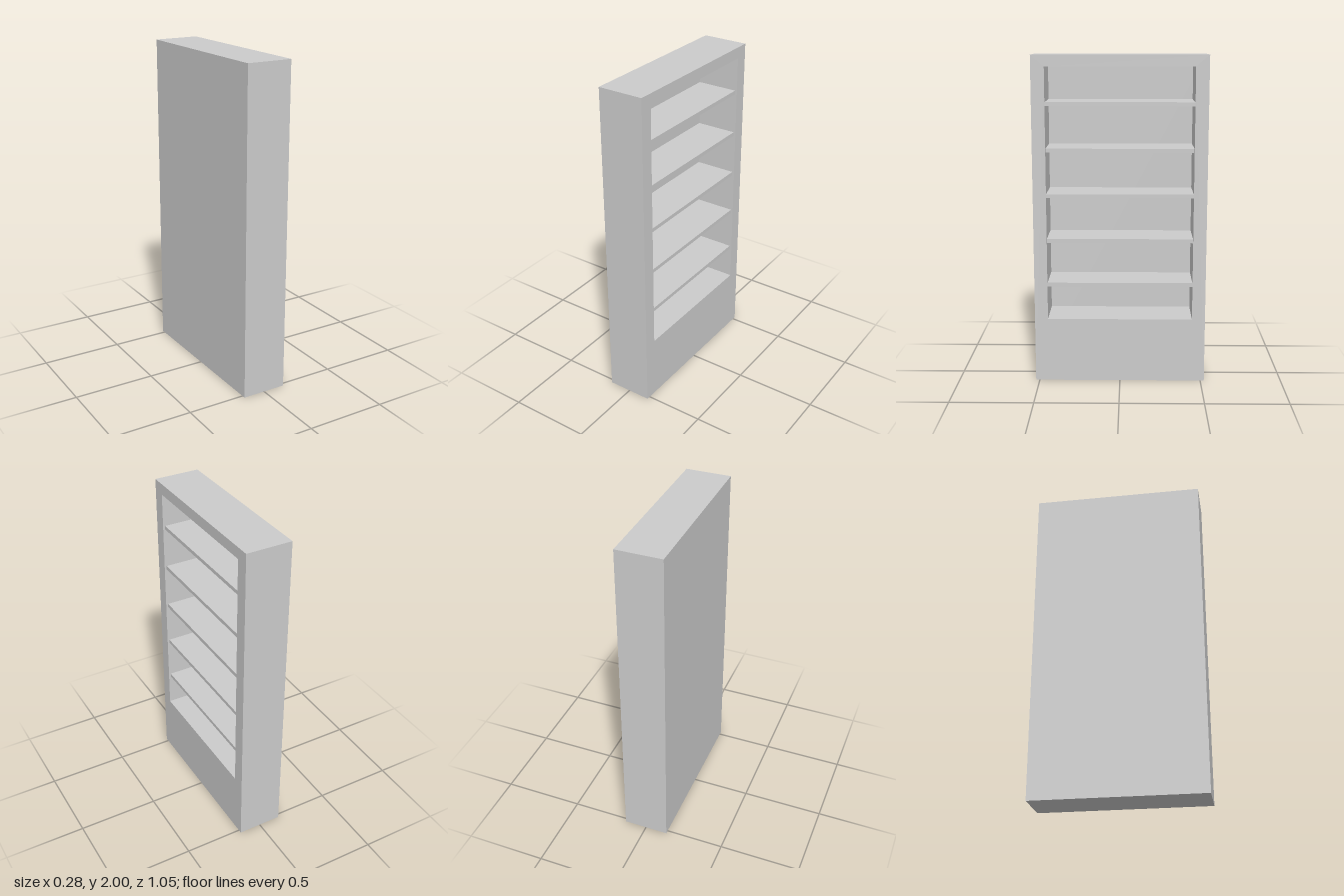
import * as THREE from 'three';

const W = 0.28, H = 2, D = 1.046;              // overall x, y, z
const BACK = 0.013;                            // back panel thickness
const OPEN = { z: 0.443, y0: 0.397, y1: 1.932 }; // opening in the +x face

export function createModel() {
  const group = new THREE.Group();
  group.name = 'bookcase';
  const material = new THREE.MeshStandardMaterial({ color: 0xcccccc, flatShading: true });

  const add = (name, geometry, x, y) => {
    const mesh = new THREE.Mesh(geometry, material);
    mesh.name = name;
    mesh.position.set(x, y, 0);
    group.add(mesh);
    return mesh;
  };

  const rect = (target, z, y0, y1) => {
    target.moveTo(-z, y0).lineTo(z, y0).lineTo(z, y1).lineTo(-z, y1).closePath();
    return target;
  };

  // Frame with solid plinth, sides and top around one opening
  const outline = rect(new THREE.Shape(), D / 2, 0, H);
  outline.holes.push(rect(new THREE.Path(), OPEN.z, OPEN.y0, OPEN.y1));
  const frame = new THREE.ExtrudeGeometry(outline, { depth: W - BACK, bevelEnabled: false });
  frame.rotateY(Math.PI / 2);
  add('frame', frame, -W / 2 + BACK, 0);

  // Closed back
  add('backPanel', new THREE.BoxGeometry(BACK, H, D), -W / 2 + BACK / 2, H / 2);

  // Evenly spaced shelves, set slightly behind the frame's face
  const front = W / 2 - 0.013, rear = -W / 2 + BACK;
  for (let i = 0; i < 5; i++) {
    add(`shelf${i + 1}`, new THREE.BoxGeometry(front - rear, 0.024, OPEN.z * 2),
      (front + rear) / 2, 0.613 + i * 0.275);
  }
  return group;
}
